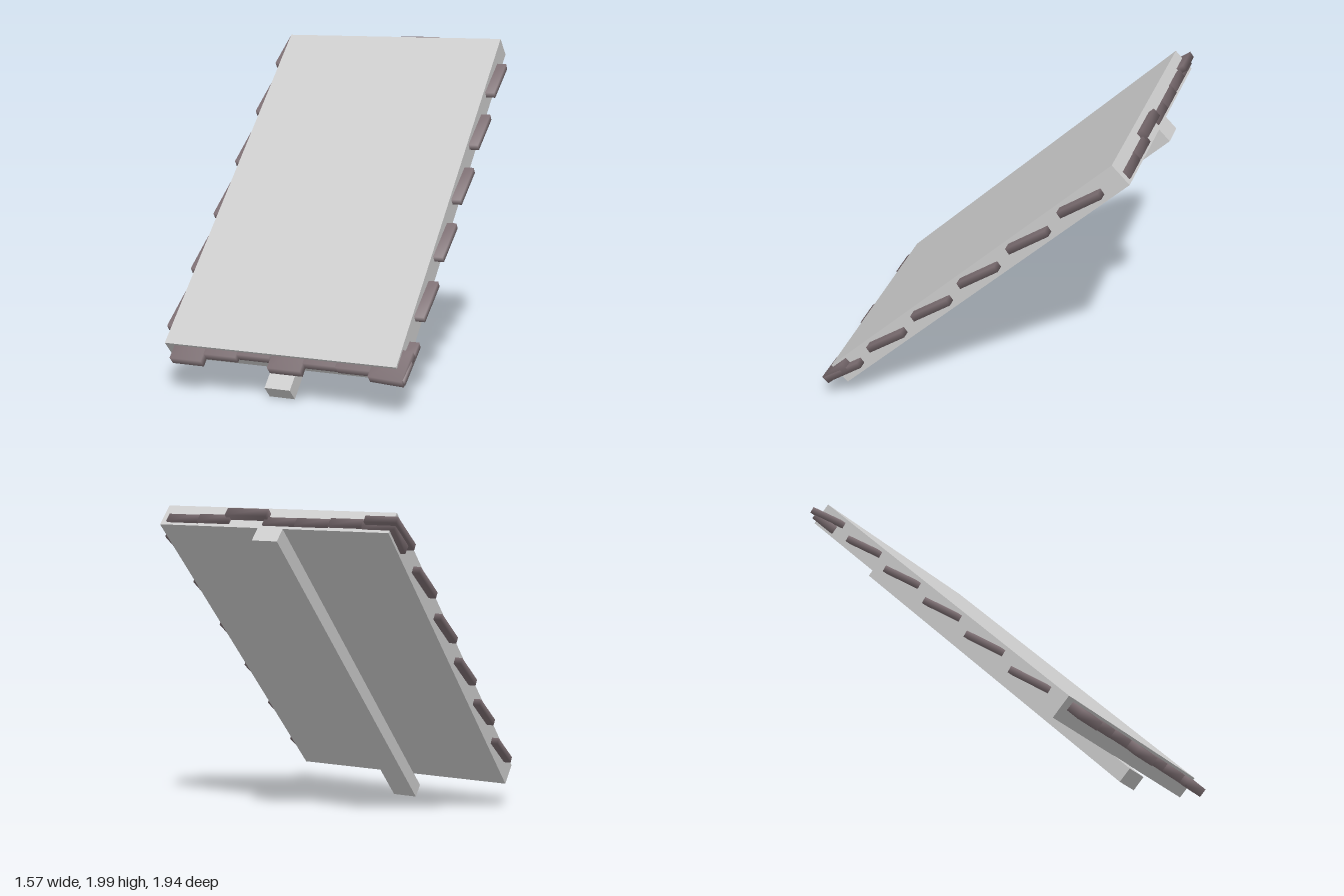
import * as THREE from 'three';
import { mergeVertices } from 'three/addons/utils/BufferGeometryUtils.js';

const grey = new THREE.MeshStandardMaterial({ color: 0xcccccc });
const brown = new THREE.MeshStandardMaterial({ color: 0x7c6e72 });

// Box given by its min and max along each axis
function block(name, x0, x1, y0, y1, z0, z1, material, soft = false) {
  let geo = new THREE.BoxGeometry(x1 - x0, y1 - y0, z1 - z0);
  if (soft) {
    // shared corners give softly shaded edges
    geo.deleteAttribute('normal');
    geo.deleteAttribute('uv');
    geo = mergeVertices(geo);
    geo.computeVertexNormals();
  }
  const mesh = new THREE.Mesh(geo, material);
  mesh.name = name;
  mesh.position.set((x0 + x1) / 2, (y0 + y1) / 2, (z0 + z1) / 2);
  return mesh;
}

export function createModel() {
  const model = new THREE.Group();
  model.name = 'leaningPanel';

  // Everything is built upright, then leaned back by 45 degrees
  const lean = new THREE.Group();
  lean.name = 'leaningAssembly';
  lean.rotation.x = -Math.PI / 4;
  model.add(lean);

  // Panel and the beam along its back
  lean.add(block('panel', -0.74, 0.72, -0.457, 1.98, 0.696, 0.841, grey));
  lean.add(block('backBeam', -0.09, 0.07, -0.599, 1.98, 0.605, 0.698, grey));

  // Slanted tiles down both long edges
  const sides = [
    { name: 'leftTile', x0: 0.58, x1: 0.778, top: 1.69 },
    { name: 'rightTile', x0: -0.785, x1: -0.59, top: 1.884 },
  ];
  for (const { name, x0, x1, top } of sides) {
    for (let i = 0; i < 6; i++) {
      const y = top - i * 0.415;
      const tile = block(name, x0, x1, y - 0.14, y + 0.14, 0.757, 0.797, brown, true);
      tile.rotation.x = -0.16;
      lean.add(tile);
    }
  }

  // Row of tiles along the bottom edge: start x, lowest point
  const bottom = [
    [-0.68, -0.545], [-0.475, -0.495], [-0.265, -0.475], [-0.05, -0.54],
    [0.15, -0.485], [0.36, -0.49], [0.57, -0.53],
  ];
  bottom.forEach(([x, y], i) => {
    const tile = block('bottomTile', x, x + 0.205, y, y + 0.2, 0.77, 0.826, brown, true);
    if (i === 6) tile.rotation.z = -0.06;
    lean.add(tile);
  });

  // Row of tiles along the top edge: x range, highest point, shift forward
  const topRow = [
    [-0.77, -0.575, 1.99, 0], [-0.57, -0.37, 1.998, 0.004], [-0.365, -0.16, 1.994, 0],
    [-0.165, 0.045, 1.992, 0], [0.025, 0.29, 2.02, 0.035], [0.265, 0.47, 1.998, 0.002],
    [0.47, 0.68, 1.992, 0],
  ];
  for (const [x0, x1, y, z] of topRow) {
    lean.add(block('topTile', x0, x1, y - 0.2, y, 0.714 + z, 0.768 + z, brown, true));
  }

  return model;
}
